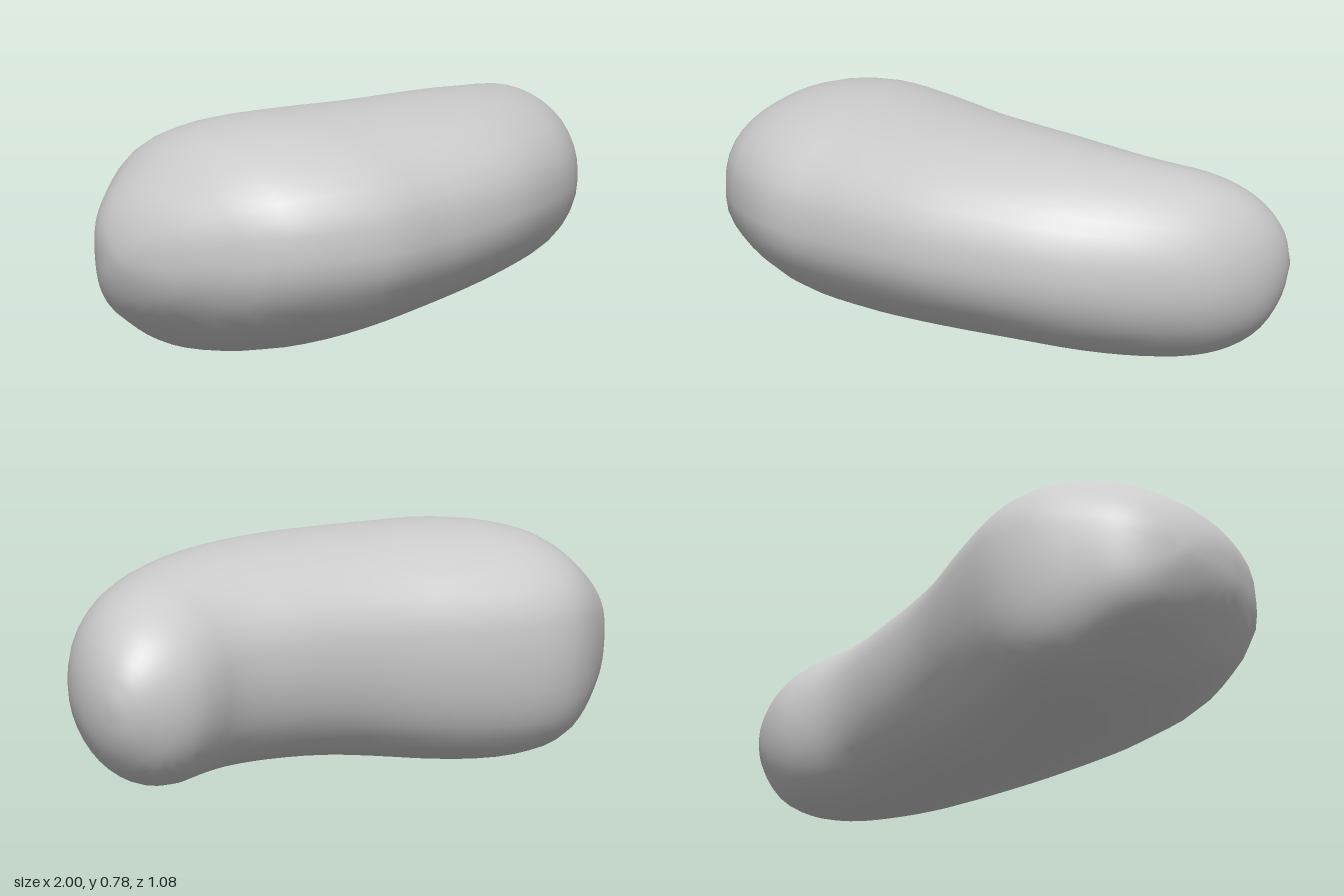
import * as THREE from 'three';
import { mergeVertices } from 'three/addons/utils/BufferGeometryUtils.js';

// Sections from the broad end to the slim end:
// front edge x, z | back edge x, z | top y, bottom y
const SECTIONS = [
  [-1.0, -0.07, -1.0, -0.07, 0.4, 0.4],
  [-0.985, 0.01, -0.99, -0.165, 0.475, 0.32],
  [-0.945, 0.12, -0.95, -0.265, 0.56, 0.225],
  [-0.87, 0.25, -0.87, -0.355, 0.645, 0.145],
  [-0.715, 0.425, -0.74, -0.46, 0.742, 0.05],
  [-0.43, 0.53, -0.595, -0.51, 0.782, 0.007],
  [-0.2, 0.525, -0.37, -0.49, 0.783, 0.01],
  [0.0, 0.51, -0.1, -0.44, 0.777, 0.042],
  [0.2, 0.475, 0.1, -0.42, 0.772, 0.067],
  [0.4, 0.4, 0.3, -0.42, 0.76, 0.08],
  [0.6, 0.295, 0.45, -0.43, 0.74, 0.083],
  [0.78, 0.145, 0.55, -0.455, 0.715, 0.081],
  [0.905, -0.01, 0.63, -0.495, 0.685, 0.086],
  [0.973, -0.15, 0.71, -0.53, 0.64, 0.112],
  [0.999, -0.29, 0.8, -0.54, 0.575, 0.17],
  [0.99, -0.4, 0.9, -0.522, 0.485, 0.275],
  [0.963, -0.475, 0.963, -0.475, 0.385, 0.385],
];
const STEPS = (SECTIONS.length - 1) * 3;
const SIDES = 40;

// Smooth curve through one group of section values
const curveOf = (pick) => new THREE.CatmullRomCurve3(
  SECTIONS.map((s) => new THREE.Vector3(...pick(s))), false, 'catmullrom', 0.5);

function beanGeometry() {
  const front = curveOf((s) => [s[0], 0, s[1]]);
  const back = curveOf((s) => [s[2], 0, s[3]]);
  const heights = curveOf((s) => [s[4], s[5], 0]);
  const positions = [];
  const index = [];

  for (let i = 0; i <= STEPS; i++) {
    const t = i / STEPS;
    const f = front.getPoint(t);
    const b = back.getPoint(t);
    const { x: top, y: bottom } = heights.getPoint(t);
    // broad end: boxy crown, high waist and a keel set towards the back;
    // this fades to a plain ellipse at the slim end
    const broad = Math.min(1, 1.35 * (1 - t));
    const half = (top - bottom) / 2;
    const waist = (top + bottom) / 2 + 0.08 * broad * half;
    for (let j = 0; j < SIDES; j++) {
      const a = (j / SIDES) * Math.PI * 2;
      const c = Math.cos(a);
      const v = Math.sin(a);
      const crown = v > 0;
      const rise = crown ? (top - waist) * v ** (1 - 0.25 * broad) : (waist - bottom) * v;
      const shift = (crown ? 0.08 : 0.36) * broad * v * v;
      const p = b.clone().lerp(f, (c - shift + 1) / 2);
      positions.push(p.x, waist + rise + 0.06 * broad * half * c, p.z);
      if (i < STEPS) {
        const k = i * SIDES + j;
        const n = i * SIDES + ((j + 1) % SIDES);
        index.push(k, k + SIDES, n, n, k + SIDES, n + SIDES);
      }
    }
  }

  const geometry = new THREE.BufferGeometry();
  geometry.setAttribute('position', new THREE.Float32BufferAttribute(positions, 3));
  geometry.setIndex(index);
  const merged = mergeVertices(geometry, 1e-5); // closes both tips
  merged.computeVertexNormals();
  return merged;
}

export function createModel() {
  const group = new THREE.Group();
  group.name = 'bean';
  const body = new THREE.Mesh(beanGeometry(), new THREE.MeshStandardMaterial({ color: 0xcccccc }));
  body.name = 'beanBody';
  group.add(body);
  return group;
}
